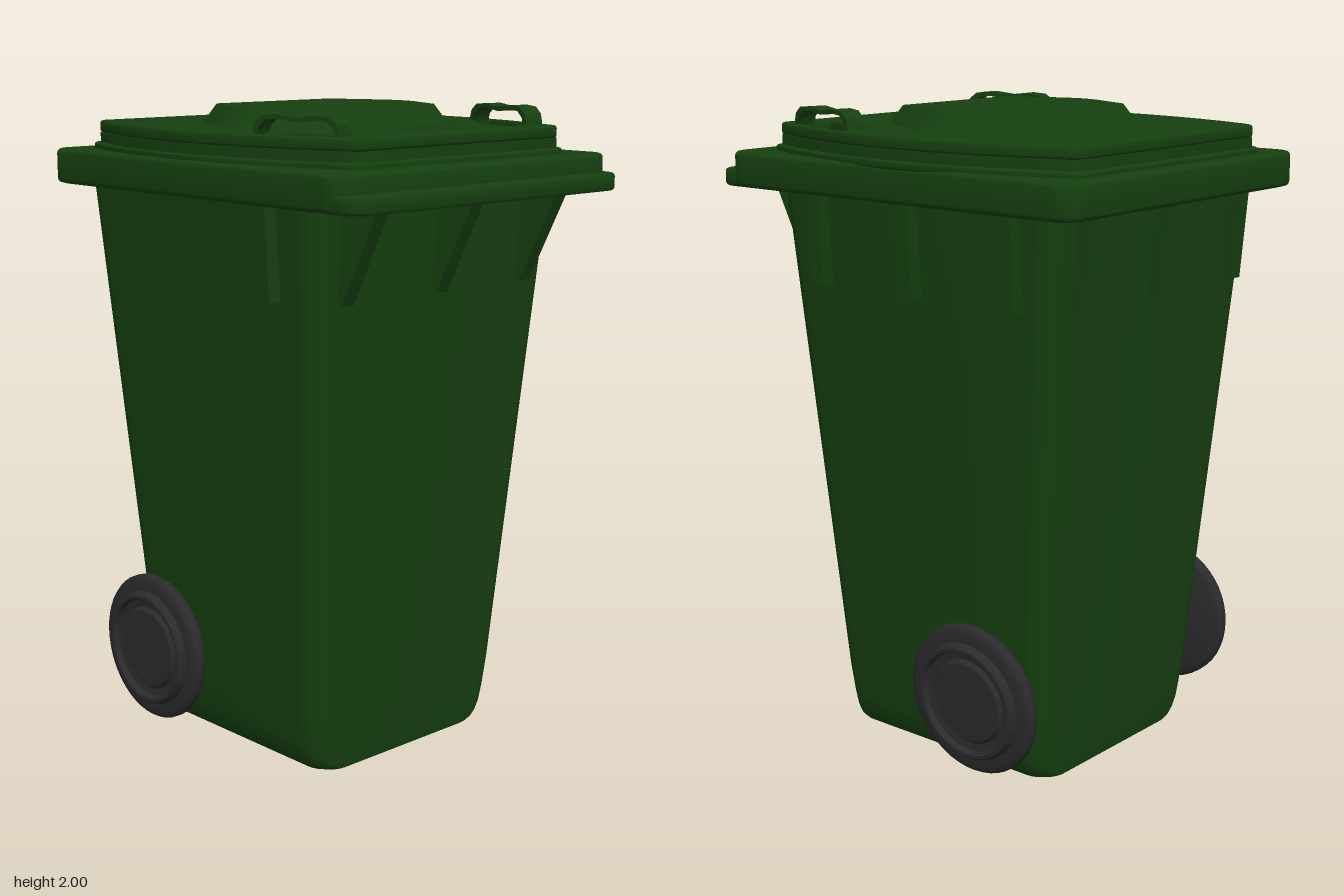
import * as THREE from 'three';
import { toCreasedNormals } from 'three/addons/utils/BufferGeometryUtils.js';

const green = new THREE.MeshStandardMaterial({ color: 0x164010 });
const rubber = new THREE.MeshStandardMaterial({ color: 0x2b2b2d });
const V = (x, y) => new THREE.Vector2(x, y);

function add(parent, name, geometry, material = green) {
  const mesh = new THREE.Mesh(geometry, material);
  mesh.name = name;
  parent.add(mesh);
  return mesh;
}

// Rounded rectangle in the x/z plane
function roundRect(x0, x1, hz, r, n = 6) {
  const centres = [[x1 - r, hz - r], [x0 + r, hz - r], [x0 + r, r - hz], [x1 - r, r - hz]];
  return centres.flatMap(([cx, cz], k) => Array.from({ length: n + 1 }, (_, i) => {
    const a = (k + i / n) * Math.PI / 2;
    return V(cx + r * Math.cos(a), cz + r * Math.sin(a));
  }));
}

// Horizontal plate from an x/z outline, with softened edges
function plate(outline, y0, y1, bevel, holes = []) {
  const shape = new THREE.Shape(outline);
  shape.holes = holes.map((h) => new THREE.Path(h));
  const g = new THREE.ExtrudeGeometry(shape, {
    depth: y1 - y0 - 2 * bevel, bevelEnabled: bevel > 0, bevelThickness: bevel,
    bevelSize: bevel, bevelOffset: -bevel, bevelSegments: 3,
  });
  g.rotateX(Math.PI / 2).translate(0, y1 - bevel, 0);
  return toCreasedNormals(g, 0.6);
}

// Closed skin over a stack of x/z outlines, from bottom to top
function loft(rings, crease) {
  const pos = [], index = [], n = rings[0].pts.length;
  for (const { y, pts } of rings) for (const p of pts) pos.push(p.x, y, p.y);
  for (let i = 0; i < rings.length - 1; i++) {
    for (let j = 0; j < n; j++) {
      const a = i * n + j, b = i * n + (j + 1) % n;
      index.push(a, a + n, b, b, a + n, b + n);
    }
  }
  const last = (rings.length - 1) * n;
  for (let j = 1; j < n - 1; j++) {
    index.push(0, j, j + 1, last, last + j + 1, last + j);
  }
  const g = new THREE.BufferGeometry();
  g.setAttribute('position', new THREE.Float32BufferAttribute(pos, 3));
  g.setIndex(index);
  return toCreasedNormals(g, crease);
}

// Upright rib: profile of (distance outwards, height), turned to face a side
function rib(parent, name, profile, angle, x, z) {
  const width = 0.048;
  const g = new THREE.ExtrudeGeometry(new THREE.Shape(profile.map(([u, y]) => V(u, y))),
    { depth: width, bevelEnabled: false });
  g.translate(0, 0, -width / 2);
  const mesh = add(parent, name, g);
  mesh.rotation.y = angle;
  mesh.position.set(x, 0, z);
}

// Lid outline with straight ends and bowed sides
function lidOutline(inset) {
  const x0 = -0.65 + inset, x1 = 0.56 - inset, d = inset;
  const half = new THREE.Path();
  half.moveTo(x1, 0.4);
  half.quadraticCurveTo(x1, 0.44 - d, x1 - 0.05, 0.455 - d);
  half.quadraticCurveTo(-0.04, 0.67 - d, x0 + 0.05, 0.47 - d);
  half.quadraticCurveTo(x0, 0.45 - d, x0, 0.4);
  const pts = half.getPoints(10);
  return [...pts, ...pts.map((p) => V(p.x, -p.y)).reverse()];
}

export function createModel() {
  const bin = new THREE.Group();
  bin.name = 'wheeledBin';

  // Tapered body, rounded under its two long bottom edges
  const levels = [[0, 0.33], [0.008, 0.352], [0.025, 0.37], [0.055, 0.384], [0.1, 0.393], [0.2, 0.405], [1.76, 0.51]];
  add(bin, 'body', loft(levels.map(([y, hz]) => {
    const t = y / 1.75;
    return { y, pts: roundRect(-0.45 - 0.137 * t, 0.34 + 0.14 * t, hz, 0.07) };
  }), 0.7));

  // Rim and the lid skirt over it
  add(bin, 'rim', plate(roundRect(-0.69, 0.695, 0.565, 0.07), 1.75, 1.802, 0.01));
  add(bin, 'lidSkirt', plate(roundRect(-0.7, 0.64, 0.573, 0.07), 1.752, 1.858, 0.014));

  // Lid with two shallow grip recesses
  const lid = new THREE.Group();
  lid.name = 'lid';
  lid.position.z = -0.01;
  bin.add(lid);
  const recess = (s) => [[0.19, 0.505], [0.46, 0.425], [0.46, 0.29], [0.19, 0.37]].map(([x, z]) => V(x, s * z));
  add(lid, 'lidStep', plate(lidOutline(0), 1.85, 1.875, 0.006));
  add(lid, 'lidBase', plate(lidOutline(0.014), 1.87, 1.905, 0));
  add(lid, 'lidTop', plate(lidOutline(0.014), 1.905, 1.942, 0.008, [recess(1), recess(-1)]));

  // Raised six-sided panel with sloping edges
  const panel = (hx, corner, tip) => {
    const side = [[1, 0], [0.36, 0.78], [0.18, 0.95], [0, 1], [-0.18, 0.95], [-0.36, 0.78], [-1, 0]]
      .map(([u, v]) => V(-0.042 + hx * u, corner + (tip - corner) * v));
    return [...side, ...side.map((p) => V(p.x, -p.y)).reverse()];
  };
  add(lid, 'raisedPanel', loft([
    { y: 1.93, pts: panel(0.278, 0.26, 0.372) },
    { y: 1.942, pts: panel(0.278, 0.26, 0.372) },
    { y: 2, pts: panel(0.238, 0.238, 0.328) },
  ], 0.4));

  // Arched grip straps across the recesses
  const outer = [[-0.148, 1.9], [-0.148, 1.95], [-0.14, 1.975], [-0.115, 1.994], [-0.07, 1.998], [0, 1.99],
    [0.07, 1.998], [0.115, 1.994], [0.14, 1.975], [0.148, 1.95], [0.148, 1.9]];
  const inner = outer.map(([x, y], i) => [x * 0.91, i === 0 || i === 10 ? y : y - 0.013]).reverse();
  const strap = new THREE.ExtrudeGeometry(new THREE.Shape([...outer, ...inner].map(([x, y]) => V(x, y))),
    { depth: 0.062, bevelEnabled: false });
  strap.translate(0, 0, -0.031);
  for (const s of [1, -1]) {
    const grip = add(lid, s > 0 ? 'leftGrip' : 'rightGrip', toCreasedNormals(strap, 0.6));
    grip.position.set(0.323, 0, s * 0.427);
    grip.rotation.y = s * 0.22;
  }

  // Stiffening ribs below the rim
  const sideRib = [[0.46, 1.475], [0.535, 1.475], [0.55, 1.755], [0.46, 1.755]];
  const endRib = [[0.54, 1.475], [0.605, 1.475], [0.63, 1.755], [0.54, 1.755]];
  const gusset = [[0.43, 1.475], [0.475, 1.47], [0.62, 1.755], [0.43, 1.755]];
  rib(bin, 'sideRib', sideRib, -Math.PI / 2, 0.29, 0);
  for (const x of [0.29, -0.07, -0.45]) rib(bin, 'sideRib', sideRib, Math.PI / 2, x, 0);
  for (const z of [0.382, 0, -0.367]) {
    rib(bin, 'endRib', endRib, Math.PI, 0, z);
    rib(bin, 'handleGusset', gusset, 0, 0, z);
  }

  // Axle and wheels, one wheel leaning slightly
  const axle = add(bin, 'axle', new THREE.CylinderGeometry(0.043, 0.043, 0.97, 24));
  axle.rotation.x = Math.PI / 2;
  axle.position.set(-0.295, 0.295, 0);
  const profile = [[0, 0], [0.215, 0], [0.23, 0.006], [0.235, 0.014], [0.235, 0.033], [0.23, 0.041], [0.215, 0.046],
    [0.186, 0.047], [0.182, 0.062], [0.175, 0.07], [0.165, 0.07], [0.158, 0.052], [0.135, 0.048], [0.124, 0.06], [0, 0.064]];
  const wheel = toCreasedNormals(new THREE.LatheGeometry(profile.map(([r, h]) => V(r, h)), 48), 0.7);
  for (const s of [1, -1]) {
    const w = add(bin, s > 0 ? 'leftWheel' : 'rightWheel', wheel, rubber);
    w.position.set(-0.295, 0.287, s * 0.477);
    w.rotation.x = s * Math.PI / 2 - (s < 0 ? 0.065 : 0);
  }
  return bin;
}
